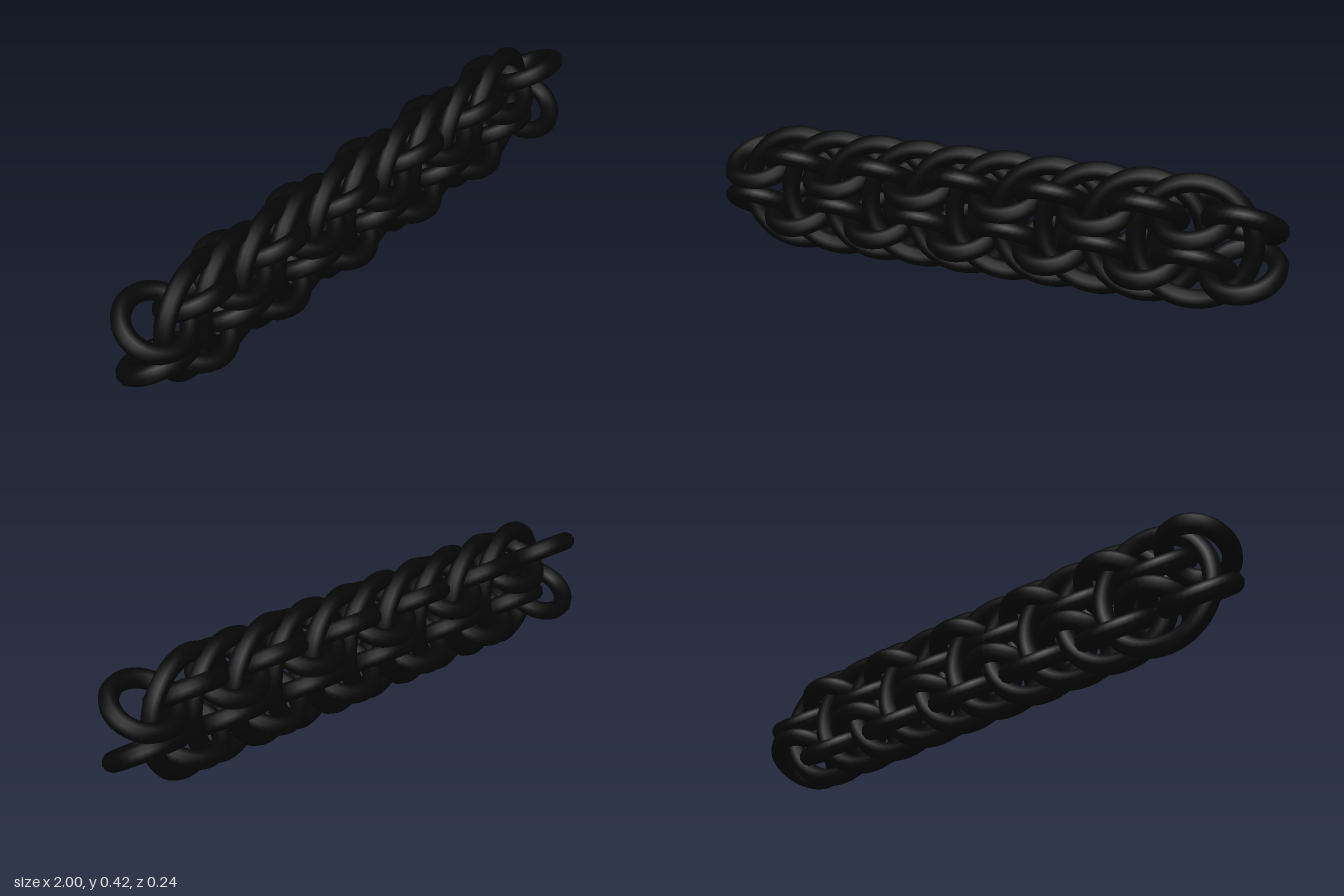
import * as THREE from 'three';

const PITCH = 0.1576, TUBE = 0.0305, MID_Y = 0.21;

export function createModel() {
  const chain = new THREE.Group();
  chain.name = 'wovenChain';
  const material = new THREE.MeshStandardMaterial({ color: 0x060606 });
  const largeRing = new THREE.TorusGeometry(0.179, TUBE, 10, 48);
  const smallRing = new THREE.TorusGeometry(0.103, TUBE, 10, 36);

  const addRing = (name, geometry, x, y, rx, ry) => {
    const ring = new THREE.Mesh(geometry, material);
    ring.name = name;
    ring.position.set(x, y, 0);
    ring.rotation.set(rx, ry, 0);
    chain.add(ring);
  };

  // Upright large rings, all turned the same way so they overlap like scales
  for (let i = 0; i < 10; i++) {
    addRing('largeRing', largeRing, (i - 4.5) * PITCH, MID_Y, 0, 0.243);
  }

  // Two rows of small lying rings, tilting alternately; the lower row mirrors the upper
  for (let i = 0; i < 12; i++) {
    const tilt = i % 2 ? -0.507 : 0.507;
    const x = (i - 5.5) * PITCH;
    addRing('upperSmallRing', smallRing, x, MID_Y + 0.07, Math.PI / 2 + tilt, 0);
    addRing('lowerSmallRing', smallRing, x, MID_Y - 0.07, Math.PI / 2 - tilt, 0);
  }
  return chain;
}
